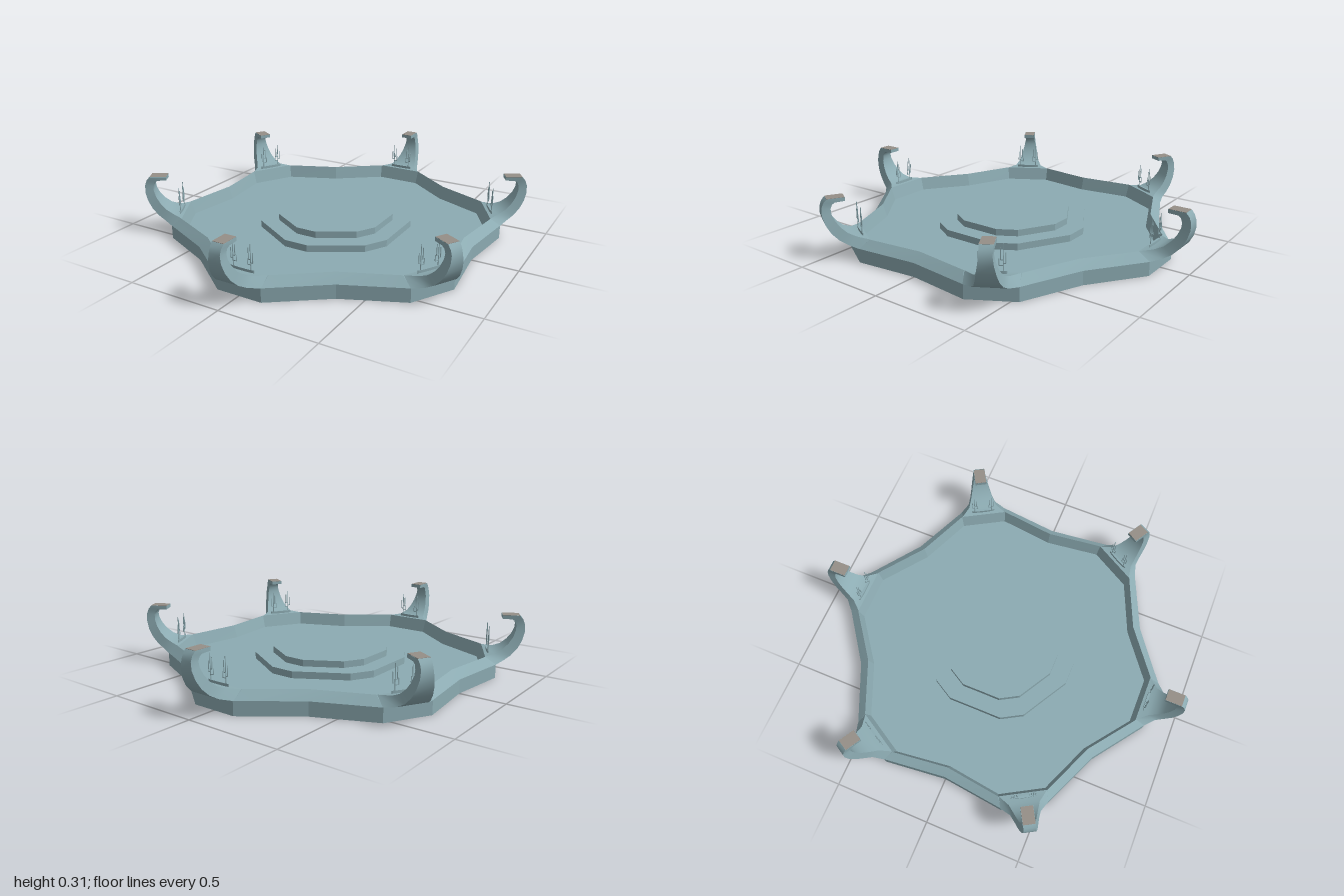
import * as THREE from 'three';
import { toCreasedNormals } from 'three/addons/utils/BufferGeometryUtils.js';

const mat = (name, color) => {
  const m = new THREE.MeshStandardMaterial({ color, side: THREE.DoubleSide });
  m.name = name;
  return m;
};

// Skin a grid of points: each row is one cross-section
function sheet(rows, crease) {
  const n = rows[0].length, index = [];
  for (let i = 0; i < rows.length - 1; i++) {
    for (let j = 0; j < n - 1; j++) {
      const a = i * n + j, b = a + 1, d = a + n, c = d + 1;
      index.push(a, b, c, a, c, d);
    }
  }
  const geo = new THREE.BufferGeometry();
  geo.setAttribute('position', new THREE.Float32BufferAttribute(rows.flat(2), 3));
  geo.setIndex(index);
  return toCreasedNormals(geo, crease);
}

// Six-cornered outline: each corner is a short edge, each side has a middle point
function ring(half, r, mid, y) {
  const pts = [];
  for (let k = 0; k < 6; k++) {
    const a = k * Math.PI / 3, s = Math.sin(a), c = Math.cos(a);
    for (const x of [-half, half]) pts.push([x * c + r * s, y, r * c - x * s]);
    const m = a + Math.PI / 6;
    pts.push([mid * Math.sin(m), y, mid * Math.cos(m)]);
  }
  pts.push(pts[0]);
  return pts;
}

export function createModel() {
  const model = new THREE.Group();
  const stone = mat('blue grey stone', 0x8cabb2);
  const tipMat = mat('warm grey cap', 0x958f88);
  const add = (parent, name, geo, material) => {
    const mesh = new THREE.Mesh(geo, material);
    mesh.name = name;
    parent.add(mesh);
    return mesh;
  };

  // Outer skirt, sloped lip and inner wall
  add(model, 'rim', sheet([
    ring(0.12, 0.855, 0.765, 0),
    ring(0.12, 0.855, 0.765, 0.07),
    ring(0.125, 0.80, 0.72, 0.11),
    ring(0.12, 0.78, 0.70, 0.04),
  ], 0.2), stone);

  // Floor sheet rising into a hollow two-step platform
  add(model, 'floorAndPlatform', sheet([
    ring(0.12, 0.78, 0.70, 0.04),
    ring(0.063, 0.395, 0.373, 0.04),
    ring(0.063, 0.395, 0.373, 0.075),
    ring(0.055, 0.30, 0.287, 0.075),
    ring(0.055, 0.30, 0.287, 0.109),
    ring(0, 0, 0, 0.109),
  ], 0.2), stone);

  // Horn sections: outer radius, outer y, inner radius, inner y, half width
  const sections = [
    [0.855, 0.07, 0.80, 0.11, 0.122],
    [0.895, 0.08, 0.85, 0.116, 0.078],
    [0.932, 0.103, 0.89, 0.135, 0.062],
    [0.965, 0.138, 0.92, 0.163, 0.051],
    [0.988, 0.18, 0.942, 0.195, 0.042],
    [1.0, 0.225, 0.955, 0.23, 0.034],
    [0.998, 0.262, 0.956, 0.255, 0.029],
    [0.988, 0.287, 0.948, 0.275, 0.029],
    [0.972, 0.305, 0.935, 0.285, 0.031],
    [0.886, 0.305, 0.886, 0.287, 0.031],
  ];
  const hornRows = sections.map(([ro, yo, ri, yi, w]) =>
    [[-w, yo, ro], [w, yo, ro], [w, yi, ri], [-w, yi, ri], [-w, yo, ro]]);
  const hornGeo = sheet(hornRows, 0.65);
  const endGeo = new THREE.PlaneGeometry(0.062, 0.018).rotateY(Math.PI).translate(0, 0.296, 0.886);
  const capGeo = new THREE.BoxGeometry(0.06, 0.003, 0.085).translate(0, 0.305, 0.929);
  const bedGeo = new THREE.CylinderGeometry(0.065, 0.065, 0.018, 16).scale(1, 1, 0.09).translate(0, 0.117, 0.82);

  // Flat branching plant: stem and upturned arms, as x, y base, height
  const stems = [[0, 0, 0.13], [-0.011, 0.04, 0.05], [0.011, 0.055, 0.055], [0.018, 0.03, 0.03]];
  function plant(x, flip) {
    const g = new THREE.Group();
    g.name = 'plant';
    for (const [sx, y, h] of stems) {
      add(g, 'stem', new THREE.CylinderGeometry(0.0018, 0.0025, h, 6).translate(sx, y + h / 2, 0), stone);
      if (sx) {
        add(g, 'branch', new THREE.BoxGeometry(Math.abs(sx), 0.004, 0.004).translate(sx / 2, y, 0), stone);
      }
    }
    g.position.set(x, 0.12, 0.82);
    g.rotation.y = flip ? Math.PI : 0;
    return g;
  }

  // One horn with its plants on each corner
  for (let k = 0; k < 6; k++) {
    const corner = new THREE.Group();
    corner.name = 'corner' + (k + 1);
    add(corner, 'horn', hornGeo, stone);
    add(corner, 'hornEnd', endGeo, stone);
    add(corner, 'hornCap', capGeo, tipMat);
    add(corner, 'plantBed', bedGeo, stone);
    corner.add(plant(-0.048, false), plant(0.048, true));
    corner.rotation.y = k * Math.PI / 3;
    model.add(corner);
  }
  return model;
}
